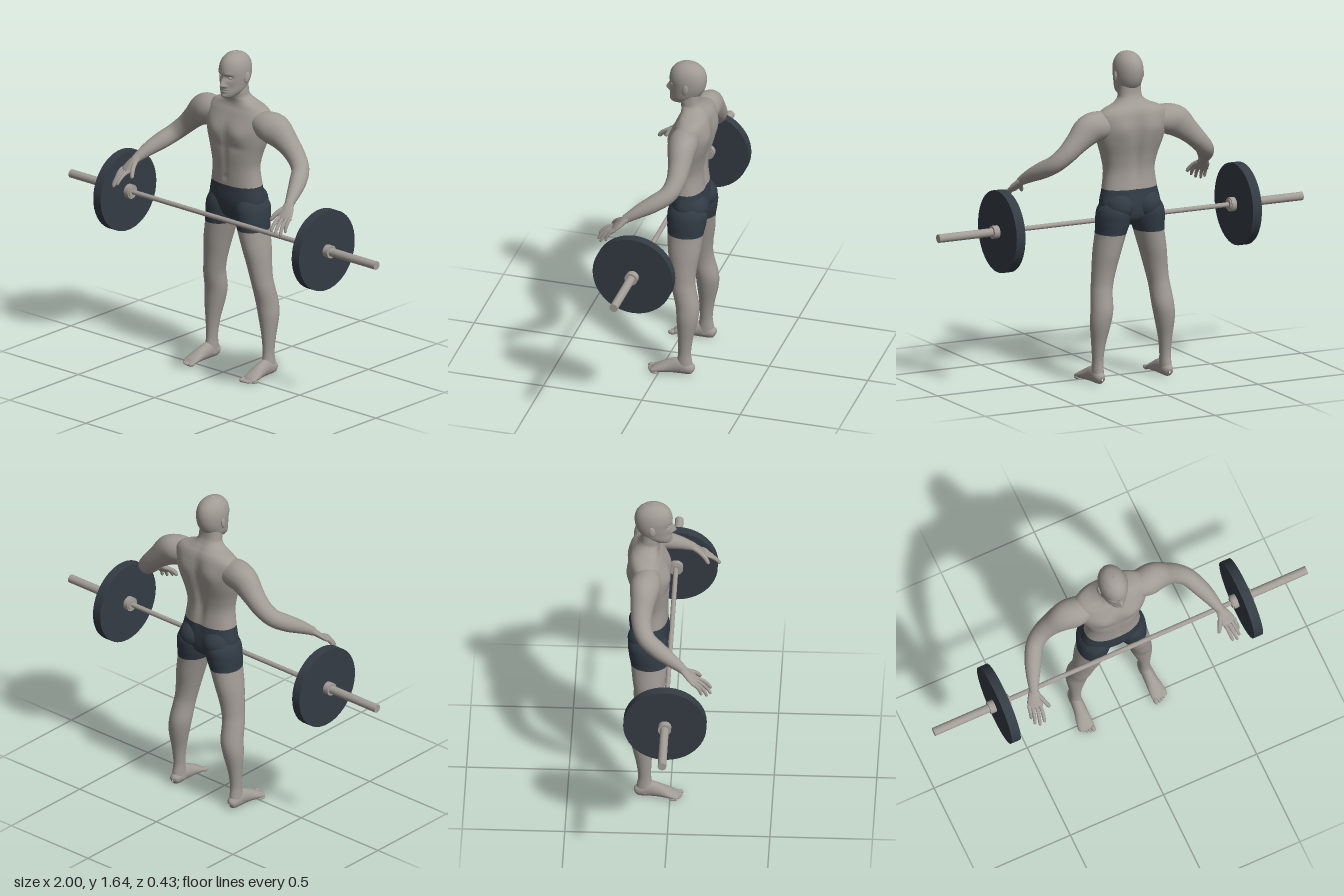
import * as THREE from 'three';

const material = (name, color) => Object.assign(new THREE.MeshStandardMaterial({ color }), { name });
const g = (d, w) => Math.exp(-(d * d) / (w * w));
const spow = (v, p) => Math.sign(v) * Math.abs(v) ** p;

// Catmull-Rom blend of section rows; t counts rows
function blend(rows, t) {
  const n = rows.length - 1, i = Math.min(Math.floor(t), n - 1), f = t - i;
  const [a, b, c, d] = [i - 1, i, i + 1, i + 2].map(k => rows[Math.max(0, Math.min(n, k))]);
  return b.map((_, k) => b[k] + 0.5 * f * (c[k] - a[k]
    + f * (2 * a[k] - 5 * b[k] + 4 * c[k] - d[k] + f * (3 * (b[k] - c[k]) + d[k] - a[k]))));
}

// Skin over rows [x, y, z, a, b]. Without ref the sections lie flat (a along x, b along z);
// with ref they stand across the path and b follows ref. side -1 mirrors in x.
function loft(rows, { from = 0, to = rows.length - 1, ref, side = 1, bump, pow = 1, around = 32, steps = 6 } = {}) {
  const pos = [], idx = [], n = (to - from) * steps;
  for (let i = 0; i <= n; i++) {
    const t = from + i / steps, [x, y, z, a, b] = blend(rows, t);
    const U = new THREE.Vector3(1, 0, 0), V = new THREE.Vector3(0, 0, 1);
    if (ref) {
      const p = blend(rows, Math.max(0, t - 0.05)), q = blend(rows, Math.min(rows.length - 1, t + 0.05));
      const T = new THREE.Vector3(q[0] - p[0], q[1] - p[1], q[2] - p[2]).normalize();
      V.set(...ref).addScaledVector(T, -V.set(...ref).dot(T)).normalize();
      U.crossVectors(T, V);
    }
    for (let j = 0; j < around; j++) {
      const th = j / around * Math.PI * 2;
      const p = new THREE.Vector3(x, y, z)
        .addScaledVector(U, Math.max(a, 0.001) * spow(Math.cos(th), pow))
        .addScaledVector(V, Math.max(b, 0.001) * spow(Math.sin(th), pow));
      if (bump) bump(p, Math.sin(th));
      pos.push(p.x * side, p.y, p.z);
      if (i === n) continue;
      const k = (j + 1) % around, A = i * around + j, B = A + around, C = i * around + k, D = C + around;
      if (side > 0) idx.push(A, B, C, C, B, D);
      else idx.push(A, C, B, C, D, B);
    }
  }
  const geo = new THREE.BufferGeometry();
  geo.setAttribute('position', new THREE.Float32BufferAttribute(pos, 3));
  geo.setIndex(idx);
  geo.computeVertexNormals();
  return geo;
}

// [y, centre x, half width, front z, back z] to a loft row
const flat = ([y, x, w, f, b]) => [x, y, (f + b) / 2, w, (f - b) / 2];

const TORSO = [
  [0.772, 0, 0.01, -0.09, -0.11], [0.785, 0, 0.06, -0.05, -0.15], [0.82, 0, 0.125, -0.028, -0.185],
  [0.88, 0, 0.158, -0.016, -0.193], [0.963, 0, 0.143, -0.016, -0.185], [1.05, 0, 0.133, -0.014, -0.178],
  [1.12, 0, 0.146, -0.01, -0.187], [1.2, 0, 0.172, -0.009, -0.206], [1.27, 0, 0.188, -0.016, -0.214],
  [1.33, 0, 0.185, -0.04, -0.208], [1.362, 0, 0.155, -0.056, -0.198], [1.385, 0, 0.098, -0.06, -0.182],
  [1.41, 0, 0.064, -0.056, -0.163], [1.44, 0, 0.058, -0.052, -0.152], [1.5, 0, 0.055, -0.06, -0.15],
].map(flat);

const HEAD = [
  [1.414, 0, 0.002, -0.03, -0.034], [1.419, 0, 0.028, -0.006, -0.07], [1.432, 0, 0.044, 0, -0.11],
  [1.455, 0, 0.058, 0, -0.143], [1.485, 0, 0.065, 0, -0.166], [1.52, 0, 0.07, 0.001, -0.178],
  [1.56, 0, 0.07, 0.004, -0.18], [1.595, 0, 0.061, -0.007, -0.169], [1.62, 0, 0.043, -0.03, -0.144],
  [1.632, 0, 0.023, -0.057, -0.113], [1.636, 0, 0.002, -0.083, -0.087],
].map(flat);

const LEG = [
  [0.03, 0.187, 0.03, -0.07, -0.17], [0.07, 0.186, 0.028, -0.085, -0.162], [0.12, 0.185, 0.027, -0.092, -0.156],
  [0.2, 0.183, 0.035, -0.09, -0.166], [0.3, 0.176, 0.051, -0.082, -0.188], [0.37, 0.167, 0.055, -0.075, -0.192],
  [0.45, 0.16, 0.053, -0.056, -0.175], [0.5, 0.152, 0.054, -0.048, -0.168], [0.57, 0.14, 0.06, -0.038, -0.172],
  [0.65, 0.125, 0.067, -0.024, -0.185], [0.743, 0.104, 0.074, -0.015, -0.195], [0.8, 0.095, 0.083, -0.012, -0.205],
  [0.86, 0.089, 0.081, -0.014, -0.208], [0.92, 0.08, 0.055, -0.04, -0.17],
].map(flat);

const ARM = [
  [0.1, 1.29, -0.12, 0.05, 0.06], [0.18, 1.286, -0.118, 0.073, 0.073], [0.24, 1.27, -0.124, 0.078, 0.068],
  [0.305, 1.217, -0.132, 0.058, 0.055], [0.36, 1.165, -0.13, 0.048, 0.048], [0.41, 1.117, -0.105, 0.044, 0.044],
  [0.448, 1.078, -0.045, 0.042, 0.042], [0.476, 1.045, 0.015, 0.034, 0.034], [0.497, 1.012, 0.068, 0.024, 0.024],
  [0.504, 1.0, 0.085, 0.02, 0.022],
];
const PALM = [
  [0.496, 1.014, 0.066, 0.018, 0.022], [0.505, 0.995, 0.09, 0.017, 0.029], [0.514, 0.97, 0.117, 0.014, 0.037],
  [0.52, 0.95, 0.138, 0.01, 0.036], [0.522, 0.942, 0.145, 0.002, 0.025],
];
// Knuckle and tip of each digit, thumb last
const DIGITS = [
  [[0.549, 0.957, 0.122], [0.556, 0.895, 0.168]], [[0.533, 0.953, 0.132], [0.549, 0.882, 0.196]],
  [[0.514, 0.952, 0.14], [0.53, 0.884, 0.214]], [[0.496, 0.955, 0.142], [0.505, 0.9, 0.214]],
  [[0.493, 0.995, 0.088], [0.453, 0.933, 0.162]],
];
const FOOT = [
  [0.185, 0.028, -0.174, 0.004, 0.008], [0.186, 0.031, -0.165, 0.021, 0.024], [0.187, 0.036, -0.14, 0.029, 0.034],
  [0.188, 0.044, -0.1, 0.03, 0.042], [0.19, 0.036, -0.05, 0.033, 0.034], [0.194, 0.025, -0.005, 0.039, 0.023],
  [0.196, 0.016, 0.028, 0.039, 0.014], [0.196, 0.013, 0.042, 0.03, 0.006],
];

// Chest, stomach line, navel, spine and shoulder blades
function torsoBump(p, s) {
  const { x, y } = p, ax = Math.abs(x);
  if (s > 0) {
    p.z += s * (0.013 * g(ax - 0.08, 0.055) * g(y - 1.235, 0.045) - 0.006 * g(x, 0.014) * g(y - 1.15, 0.13)
      - 0.008 * g(x, 0.009) * g(y - 1.005, 0.01) - 0.004 * g(ax - 0.07, 0.05) * g(y - 1.165, 0.018));
  } else {
    p.z -= s * 0.02 * g(x, 0.025) * g(y - 1.15, 0.17);
    p.z += s * 0.01 * g(ax - 0.09, 0.045) * g(y - 1.27, 0.06);
  }
}

// Brow, eye sockets, nose, lips and chin
function faceBump(p, s) {
  if (s <= 0) return;
  const { x, y } = p, ax = Math.abs(x), rise = y < 1.482 ? 0.009 : 0.03;
  p.z += s * (0.024 * g(x, 0.012) * g(y - 1.482, rise) + 0.006 * g(ax - 0.016, 0.008) * g(y - 1.48, 0.008)
    + 0.004 * g(ax - 0.028, 0.022) * g(y - 1.543, 0.009) - 0.011 * g(ax - 0.03, 0.015) * g(y - 1.522, 0.011)
    + 0.007 * g(x, 0.022) * g(y - 1.456, 0.011) - 0.006 * g(x, 0.02) * g(y - 1.456, 0.003)
    + 0.006 * g(x, 0.02) * g(y - 1.428, 0.01) - 0.004 * g(ax - 0.042, 0.016) * g(y - 1.468, 0.02));
}

export function createModel() {
  const model = new THREE.Group();
  model.name = 'lifterWithBarbell';
  const skin = material('skin', 0xa19b95), cloth = material('shortsCloth', 0x323c46);
  const steel = material('steel', 0xa39d97), rubber = material('plateRubber', 0x343c44);
  const add = (name, geo, mat) => {
    const mesh = new THREE.Mesh(geo, mat);
    mesh.name = name;
    model.add(mesh);
    return mesh;
  };
  const ball = (name, mat, [x, y, z], [sx, sy, sz]) => {
    const mesh = add(name, new THREE.SphereGeometry(1, 20, 14), mat);
    mesh.position.set(x, y, z);
    mesh.scale.set(sx, sy, sz);
    return mesh;
  };

  // Trunk, shorts and head
  add('torso', loft(TORSO, { from: 4, bump: torsoBump, pow: 0.88, around: 80, steps: 8 }), skin);
  add('shortsSeat', loft(TORSO, { to: 4, bump: torsoBump, pow: 0.88, around: 80, steps: 8 }), cloth);
  add('head', loft(HEAD, { bump: faceBump, around: 112, steps: 10 }), skin);

  for (const side of [1, -1]) {
    const name = part => (side > 0 ? 'left' : 'right') + part;

    // Face details
    ball(name('Eye'), skin, [side * 0.029, 1.522, -0.02], [0.012, 0.007, 0.012]);
    const ear = ball(name('Ear'), skin, [side * 0.073, 1.516, -0.092], [0.008, 0.028, 0.016]);
    ear.rotation.set(-0.2, side * -0.25, 0);

    // Leg, shorts leg and buttock
    add(name('Leg'), loft(LEG, { to: 10, side }), skin);
    add(name('ShortsLeg'), loft(LEG, { from: 10, side }), cloth);
    ball(name('Buttock'), cloth, [side * 0.074, 0.876, -0.135], [0.074, 0.075, 0.077]);

    // Foot and toes
    add(name('Foot'), loft(FOOT, { ref: [0, 1, 0], side }), skin);
    for (let i = 0; i < 5; i++) {
      const r = i ? 0.009 - i * 0.0004 : 0.012;
      ball(name('Toe'), skin, [side * (0.168 + i * 0.0145 + (i ? 0.003 : 0)), r, 0.044 - i * i * 0.0016],
        [r, r, i ? 0.02 : 0.022]);
    }

    // Arm, palm and digits
    add(name('Arm'), loft(ARM, { ref: [-0.3, 0.5, 0.8], side }), skin);
    add(name('Palm'), loft(PALM, { ref: [0.95, 0, -0.3], side, around: 24 }), skin);
    DIGITS.forEach(([a, b], i) => {
      const r = i === 4 ? 0.0115 : 0.009;
      const rows = [[0, r], [0.3, r], [0.65, r * 0.95], [0.93, r * 0.75], [1, 0.001]].map(([t, w]) => {
        const lift = 0.03 * t * (1 - t);
        return [...a.map((v, k) => v + (b[k] - v) * t + (k ? lift : 0)), w, w];
      });
      add(name(i === 4 ? 'Thumb' : 'Finger'), loft(rows, { ref: [1, 0, -0.3], side, around: 12, steps: 4 }), skin);
    });
  }

  // Barbell: a rod from x0 to x1
  const rod = (name, mat, r, x0, x1) => {
    const mesh = add(name, new THREE.CylinderGeometry(r, r, Math.abs(x1 - x0), 48), mat);
    mesh.rotation.z = Math.PI / 2;
    mesh.position.set((x0 + x1) / 2, 0.787, -0.005);
  };
  rod('bar', steel, 0.012, -0.62, 0.62);
  for (const s of [1, -1]) {
    rod('sleeve', steel, 0.021, s * 0.6, s);
    rod('innerCollar', steel, 0.035, s * 0.6, s * 0.627);
    rod('innerRing', steel, 0.028, s * 0.594, s * 0.6);
    rod('weightPlate', rubber, 0.203, s * 0.626, s * 0.674);
    rod('outerCollar', steel, 0.032, s * 0.673, s * 0.705);
  }
  return model;
}
